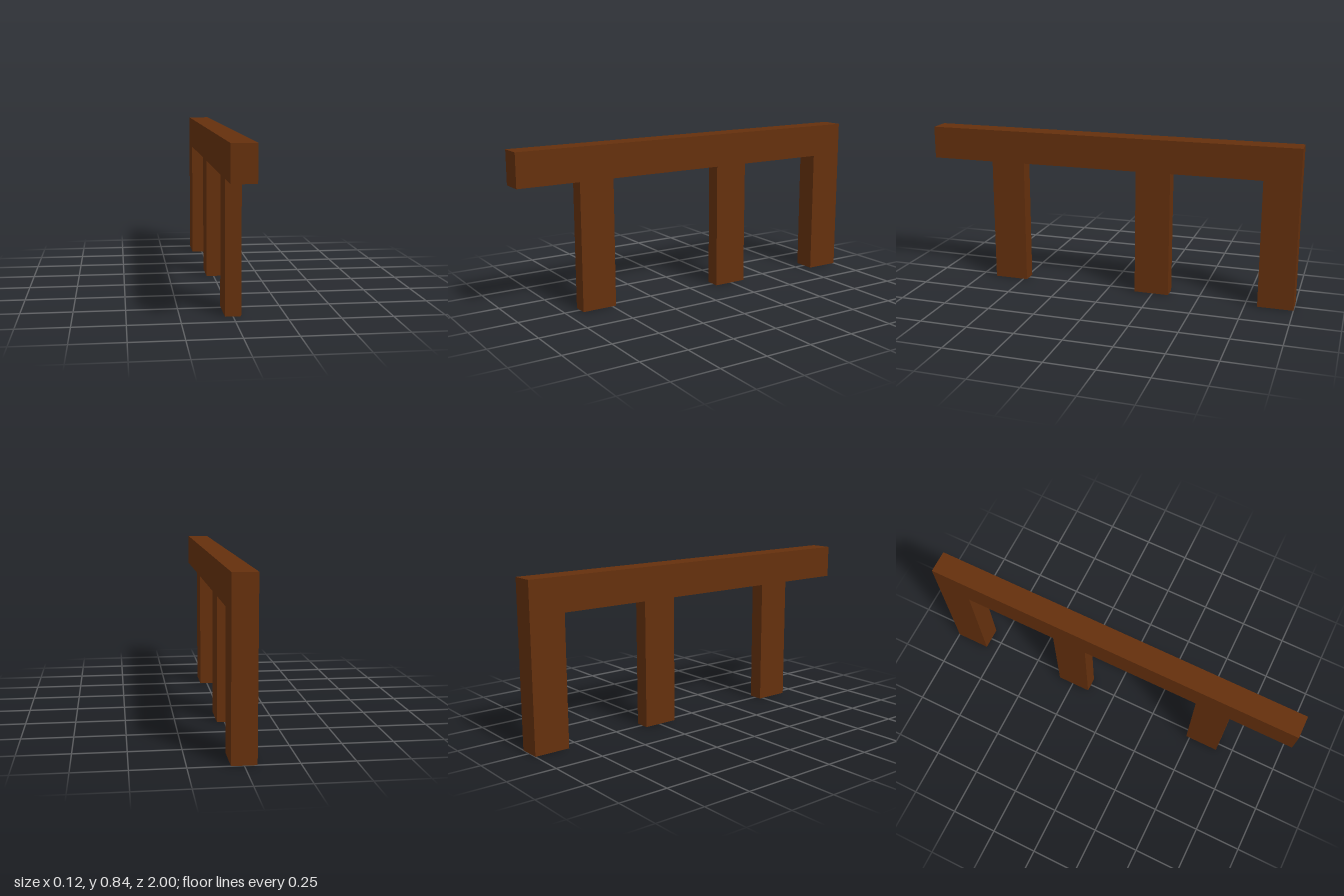
import * as THREE from 'three';

const WIDTH = 0.117, POST_WIDTH = 0.077, POST_DEPTH = 0.185;
const BEAM_BOTTOM = 0.67, TOP = 0.843;

// Drops every triangle lying flat at one of the given heights, leaving an open shell
function openAt(geometry, heights) {
  const g = geometry.index ? geometry.toNonIndexed() : geometry;
  const p = g.attributes.position;
  const keep = [];
  for (let i = 0; i < p.count; i += 3) {
    const flat = heights.some(h => [0, 1, 2].every(k => Math.abs(p.getY(i + k) - h) < 1e-4));
    if (!flat) keep.push(i, i + 1, i + 2);
  }
  g.clearGroups();
  g.setIndex(keep);
  return g;
}

export function createModel() {
  const group = new THREE.Group();
  group.name = 'railing';
  const wood = new THREE.MeshStandardMaterial({
    color: 0x65300d, flatShading: true, side: THREE.DoubleSide,
  });

  // Top beam turning down into the end post, open underneath the post
  const innerZ = -1 + POST_DEPTH;
  const outline = new THREE.Shape([
    [-1, 0], [innerZ, 0], [innerZ, BEAM_BOTTOM], [1, BEAM_BOTTOM], [1, TOP], [-1, TOP],
  ].map(([z, y]) => new THREE.Vector2(z, y)));
  const beamGeometry = new THREE.ExtrudeGeometry(outline, { depth: WIDTH, bevelEnabled: false });
  beamGeometry.translate(0, 0, -WIDTH / 2).rotateY(-Math.PI / 2);
  const beam = new THREE.Mesh(openAt(beamGeometry, [0]), wood);
  beam.name = 'beamAndEndPost';
  group.add(beam);

  // Narrower posts, open at both ends
  const postGeometry = new THREE.BoxGeometry(POST_WIDTH, BEAM_BOTTOM, POST_DEPTH);
  postGeometry.translate(0, BEAM_BOTTOM / 2, 0);
  const postShell = openAt(postGeometry, [0, BEAM_BOTTOM]);
  [['frontPost', 0.572], ['middlePost', -0.243]].forEach(([name, z]) => {
    const post = new THREE.Mesh(postShell, wood);
    post.name = name;
    post.position.z = z;
    group.add(post);
  });

  return group;
}
